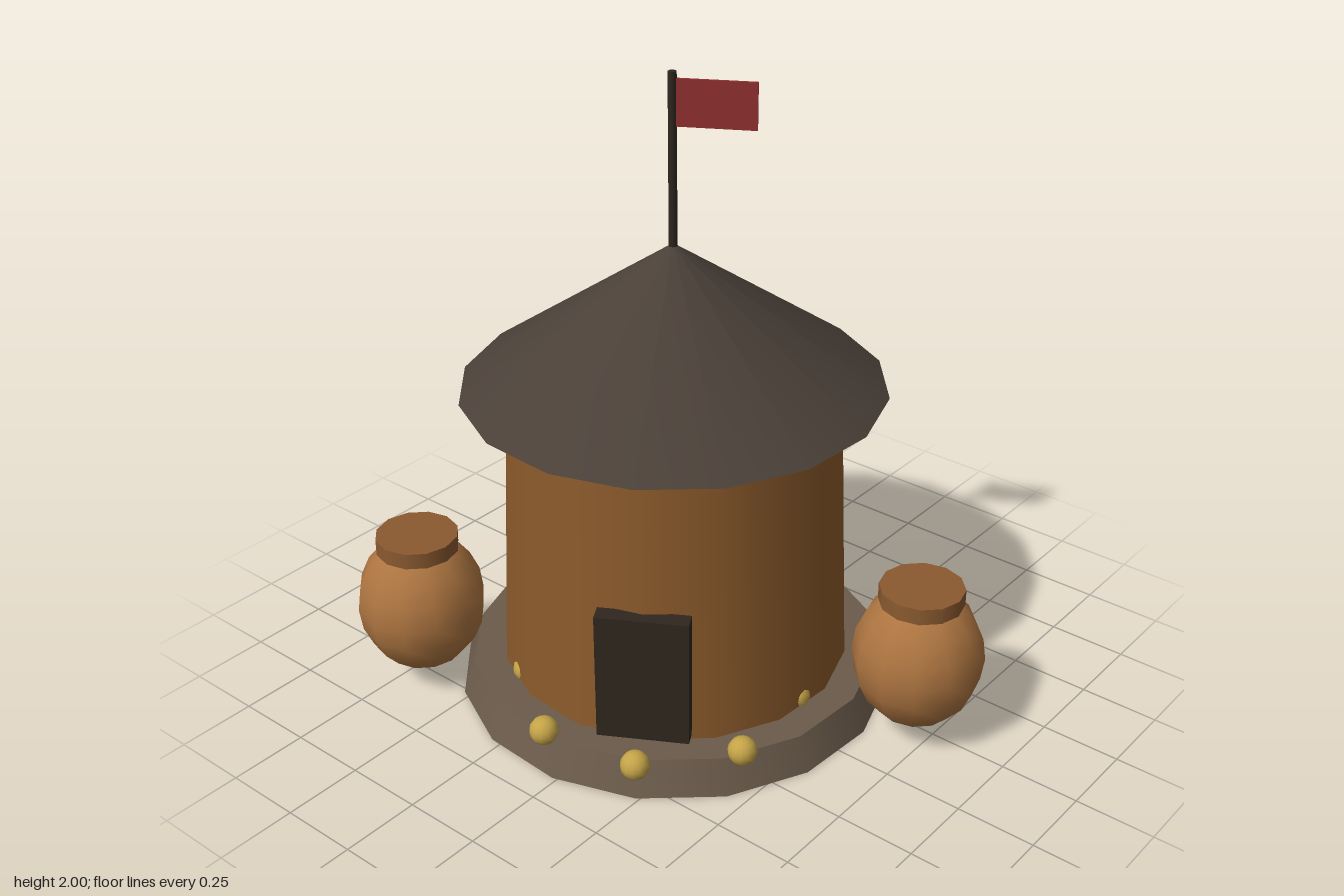
import * as THREE from 'three';

const SIDES = 16;
const paint = (color) => new THREE.MeshStandardMaterial({ color });
const stone = paint(0x6b5b4b);
const clay = paint(0x8b5a2b);
const thatch = paint(0x4a4038);
const darkWood = paint(0x2e261e);
const cloth = paint(0x8f2f2f);
const pottery = paint(0xac7440);
const rim = paint(0x8a5a30);
const gold = paint(0xc4a448);

function add(parent, name, geometry, material, x, y, z) {
  const mesh = new THREE.Mesh(geometry, material);
  mesh.name = name;
  mesh.position.set(x, y, z);
  parent.add(mesh);
  return mesh;
}

// Round tier spanning y0..y1
function tier(parent, name, rTop, rBottom, y0, y1, material, sides = SIDES) {
  const geometry = new THREE.CylinderGeometry(rTop, rBottom, y1 - y0, sides);
  return add(parent, name, geometry, material, 0, (y0 + y1) / 2, 0);
}

// Round-bellied pot with a short, wide neck
function makeJar(name, x, z) {
  const jar = new THREE.Group();
  jar.name = name;
  jar.position.set(x, 0, z);
  const belly = add(jar, 'jarBelly', new THREE.SphereGeometry(0.202, 12, 10), pottery, 0, 0.288, 0);
  belly.scale.y = 1.15;
  tier(jar, 'jarNeck', 0.13, 0.13, 0.478, 0.53, rim, 12);
  return jar;
}

export function createModel() {
  const model = new THREE.Group();
  model.name = 'hutWithJars';

  // Hut, turned so its door looks towards the front left
  const hut = new THREE.Group();
  hut.name = 'hut';
  hut.position.set(-0.106, 0, -0.034);
  hut.rotation.y = Math.PI / 6;
  model.add(hut);

  tier(hut, 'plinth', 0.65, 0.69, 0, 0.11, stone);
  tier(hut, 'wall', 0.51, 0.55, 0.11, 1.04, clay);
  add(hut, 'roof', new THREE.ConeGeometry(0.65, 0.455, SIDES), thatch, 0, 1.2575, 0);
  add(hut, 'door', new THREE.BoxGeometry(0.28, 0.42, 0.055), darkWood, 0, 0.335, 0.542);

  // Flagpole and flag
  tier(hut, 'flagpole', 0.013, 0.013, 1.45, 2, darkWood, 8);
  add(hut, 'flag', new THREE.BoxGeometry(0.235, 0.14, 0.008), cloth, 0.125, 1.91, 0);

  // Gold balls in an arc before the door, the outer pair sunk in the wall
  const arc = [[0, 0.69], [0.3, 0.573], [0.424, 0.275]];
  for (const [x, z] of arc) {
    for (const side of x === 0 ? [1] : [-1, 1]) {
      add(hut, 'goldBall', new THREE.SphereGeometry(0.045, 12, 8), gold, side * x, 0.125, z);
    }
  }

  model.add(makeJar('rightJar', -0.695, 0.515), makeJar('leftJar', 0.69, -0.23));
  return model;
}
